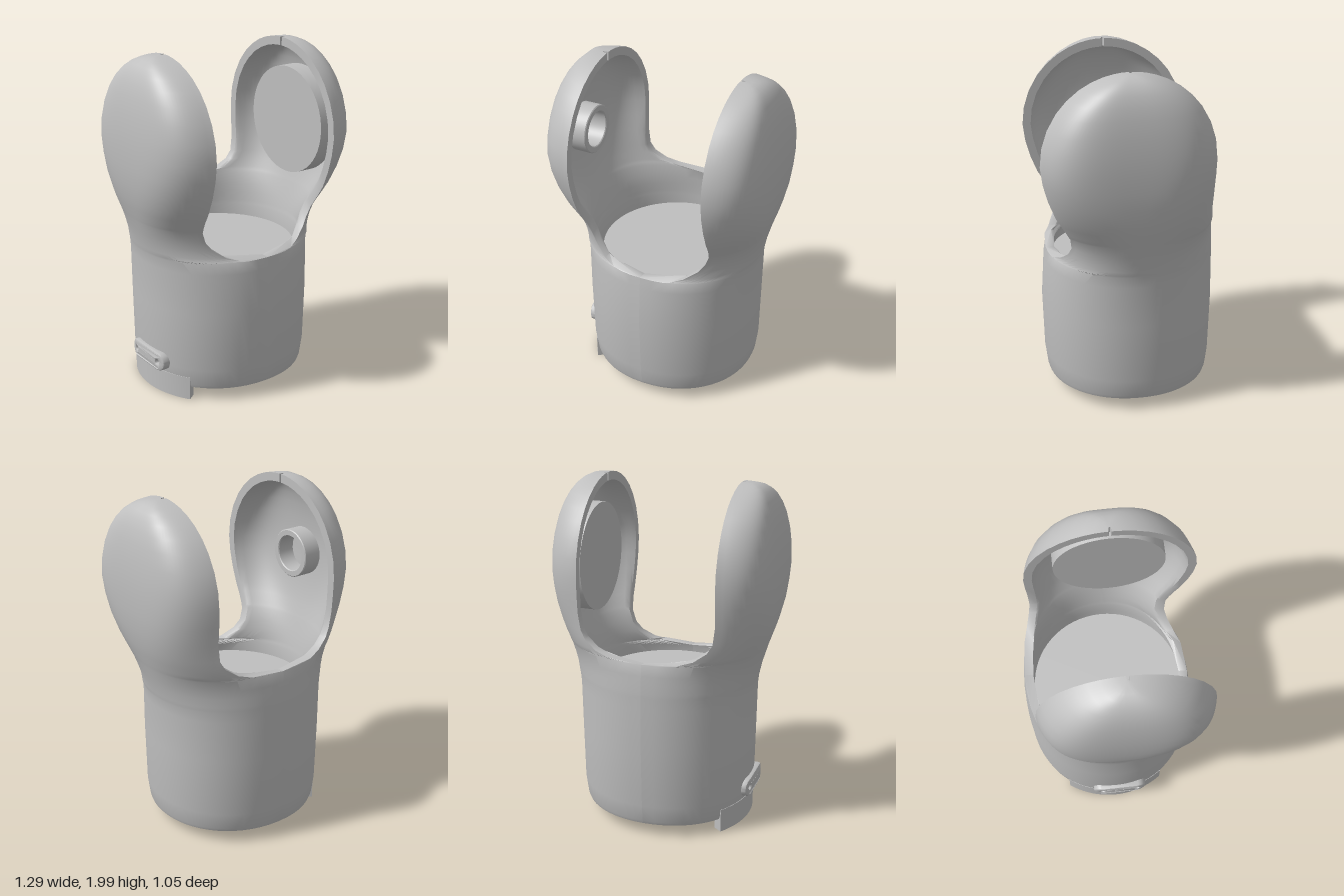
import * as THREE from 'three';
import { toCreasedNormals } from 'three/addons/utils/BufferGeometryUtils.js';

const { lerp, smoothstep, clamp, degToRad } = THREE.MathUtils;
const COLS = 36;      // columns from the front edge to the back edge
const WALL = 0.05;    // shell thickness

// Sleeve and neck sections: y, outer x, front z, back z
const SECTIONS = [
  [0.08, 0.49, 0.455, -0.495],
  [0.1, 0.497, 0.462, -0.503],
  [0.2, 0.51, 0.475, -0.515],
  [0.55, 0.515, 0.485, -0.525],
  [0.8, 0.52, 0.47, -0.522],
  [0.865, 0.527, 0.46, -0.52],
  [0.877, 0.53, 0.445, -0.52],
  [0.9, 0.535, 0.41, -0.519],
  [0.95, 0.545, 0.375, -0.516],
  [1.0, 0.56, 0.36, -0.511],
  [1.065, 0.577, 0.37, -0.505],
  [1.077, 0.581, 0.378, -0.488],
  [1.1, 0.588, 0.39, -0.467],
  [1.15, 0.603, 0.42, -0.445],
  [1.2, 0.616, 0.45, -0.436],
  [1.3, 0.635, 0.49, -0.44],
  [1.4, 0.643, 0.517, -0.447],
];
// Domed top of the ear
for (const deg of [0, 12, 24, 36, 46, 56, 65, 73, 80, 85, 89]) {
  const a = degToRad(deg), c = Math.cos(a);
  SECTIONS.push([1.5 + 0.5 * Math.sin(a), 0.4 + 0.247 * c ** 0.55, 0.04 + 0.49 * c, 0.04 - 0.49 * c]);
}

// Edge of the U-shaped opening: half width at height y
const opening = (y, bottom, height) => 0.4 * Math.cbrt(1 - (1 - clamp((y - bottom) / height, 0, 1)) ** 3);

// One half of the sleeve with its ear: rounded sections, cut off at the opening
function halfShell(side) {
  const pos = [], edge = [], index = [];
  for (const [y, X, zFront, zBack] of SECTIONS) {
    const zc = lerp(-0.02, 0.04, smoothstep(y, 0.8, 1.5));
    const n = lerp(2.1, 4, smoothstep(y, 0.95, 1.55));
    for (let j = 0; j <= COLS; j++) {
      const s = 1 - (2 * j) / COLS;
      const x0 = s > 0 ? opening(y, 0.865, 0.4) : opening(y, 1.065, 0.25);
      const reach = (s > 0 ? zFront : zBack) - zc;
      const Z = reach / Math.pow(1 - Math.pow(x0 / X, n), 1 / n);
      const t = Math.acos(Math.pow(x0 / X, n / 2)) * Math.pow(Math.abs(s), 1.4);
      pos.push(X * Math.pow(Math.max(Math.cos(t), 0), 2 / n), y, zc + Z * Math.pow(Math.sin(t), 2 / n));
      edge.push(x0);
    }
  }
  const rows = SECTIONS.length, stride = COLS + 1, count = rows * stride;
  const at = (i, j) => i * stride + j;
  const quad = (a, b, c, d) => index.push(a, b, c, a, c, d);
  for (let i = 0; i < rows - 1; i++)
    for (let j = 0; j < COLS; j++) quad(at(i, j), at(i, j + 1), at(i + 1, j + 1), at(i + 1, j));

  // inner wall: the outer wall moved in along its normals
  const outer = new THREE.BufferGeometry();
  outer.setAttribute('position', new THREE.Float32BufferAttribute(pos, 3));
  outer.setIndex(index.slice());
  outer.computeVertexNormals();
  const nor = outer.attributes.normal;
  for (let k = 0; k < count; k++)
    pos.push(
      Math.max(pos[3 * k] - WALL * nor.getX(k), edge[k]),
      pos[3 * k + 1] - WALL * nor.getY(k) * (k < stride ? 0 : 1),
      pos[3 * k + 2] - WALL * nor.getZ(k));
  for (let i = 0; i < rows - 1; i++)
    for (let j = 0; j < COLS; j++)
      quad(count + at(i, j), count + at(i + 1, j), count + at(i + 1, j + 1), count + at(i, j + 1));

  // rims joining both walls
  const rim = (a, b) => quad(a, b, b + count, a + count);
  for (let i = 0; i < rows - 1; i++) {
    rim(at(i, 0), at(i + 1, 0));
    rim(at(i + 1, COLS), at(i, COLS));
  }
  for (let j = 0; j < COLS; j++) {
    rim(at(0, j + 1), at(0, j));
    rim(at(rows - 1, j), at(rows - 1, j + 1));
  }

  // mirrored half: flip x and the corner order
  if (side < 0) {
    for (let k = 0; k < pos.length; k += 3) pos[k] *= -1;
    for (let k = 0; k < index.length; k += 3) [index[k], index[k + 1]] = [index[k + 1], index[k]];
  }
  const g = new THREE.BufferGeometry();
  g.setAttribute('position', new THREE.Float32BufferAttribute(pos, 3));
  g.setIndex(index);
  return toCreasedNormals(g, 0.75);
}

// Curved tab that follows the sleeve
function tabGeometry() {
  const shape = new THREE.Shape();
  shape.absarc(0, 0, 0.508, Math.PI - 0.62, Math.PI + 0.62, false);
  shape.absarc(0, 0, 0.45, Math.PI + 0.62, Math.PI - 0.62, true);
  shape.closePath();
  const g = new THREE.ExtrudeGeometry(shape, { depth: 0.14, bevelEnabled: false, curveSegments: 16 });
  return toCreasedNormals(g.rotateX(-Math.PI / 2), 0.6);
}

// Rounded bar with two holes, bent around the sleeve
function clipGeometry() {
  const shape = new THREE.Shape();
  shape.absarc(0.11, 0, 0.045, -Math.PI / 2, Math.PI / 2);
  shape.absarc(-0.11, 0, 0.045, Math.PI / 2, Math.PI * 1.5);
  for (const u of [-0.11, 0.11]) {
    const hole = new THREE.Path();
    hole.absarc(u, 0, 0.025, 0, Math.PI * 2, true);
    shape.holes.push(hole);
  }
  const g = new THREE.ExtrudeGeometry(shape, {
    depth: 0.05, bevelSize: 0.01, bevelThickness: 0.01, bevelSegments: 2, curveSegments: 12,
  });
  g.rotateY(-Math.PI / 2);
  const p = g.attributes.position;
  for (let k = 0; k < p.count; k++) p.setX(k, p.getX(k) + 0.9 * p.getZ(k) ** 2);
  return toCreasedNormals(g, 0.6);
}

export function createModel() {
  const model = new THREE.Group();
  model.name = 'forkedJointSleeve';
  const grey = new THREE.MeshStandardMaterial({ color: 0xbfbfbf });
  grey.name = 'plain grey';
  const add = (name, geometry, x = 0, y = 0, z = 0) => {
    const mesh = new THREE.Mesh(geometry, grey);
    mesh.name = name;
    mesh.position.set(x, y, z);
    model.add(mesh);
  };

  add('leftShell', halfShell(1));
  add('rightShell', halfShell(-1));

  // stepped drum inside the sleeve
  add('innerDrum', new THREE.CylinderGeometry(0.44, 0.44, 0.72, 64), 0, 0.46, -0.02);
  add('drumFoot', new THREE.CylinderGeometry(0.375, 0.375, 0.08, 64), 0, 0.07, -0.015);

  // round pad inside the left ear
  add('earPad', new THREE.CylinderGeometry(0.32, 0.32, 0.13, 48).rotateZ(Math.PI / 2), 0.515, 1.5, 0.04);

  // hollow boss inside the right ear
  const boss = new THREE.LatheGeometry([
    [0.145, 0], [0.145, 0.12], [0.14, 0.125], [0.11, 0.125], [0.105, 0.12], [0.105, 0],
  ].map(([r, h]) => new THREE.Vector2(r, h)), 40);
  add('earBoss', toCreasedNormals(boss.rotateZ(-Math.PI / 2), 0.6), -0.61, 1.5, 0.04);

  // tab and clip on the right side of the sleeve
  add('bottomTab', tabGeometry(), 0, 0.005, -0.02);
  add('sideClip', clipGeometry(), -0.485, 0.215, 0);

  return model;
}
